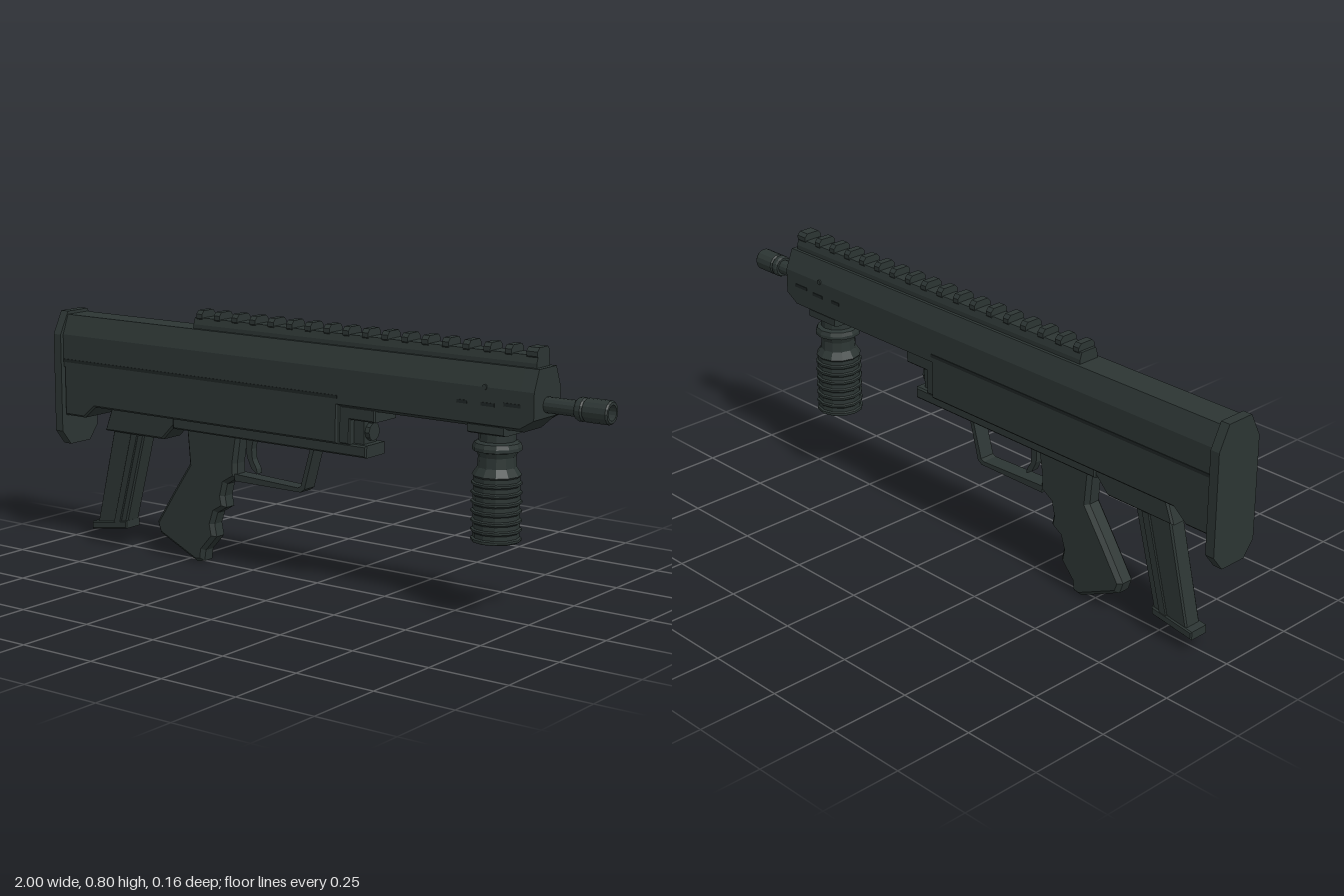
import * as THREE from 'three';

export function createModel() {
  const root = new THREE.Group();
  const gunmetal = new THREE.MeshStandardMaterial({ color: 0x2c3533, flatShading: true });
  gunmetal.name = 'dark green grey';
  const recess = new THREE.MeshStandardMaterial({ color: 0x1d2423, flatShading: true });
  recess.name = 'recess grey';

  function add(name, geo, mat = gunmetal) {
    const mesh = new THREE.Mesh(geo, mat);
    mesh.name = name;
    root.add(mesh);
    return mesh;
  }
  function box(name, x0, x1, y0, y1, halfZ, mat) {
    const mesh = add(name, new THREE.BoxGeometry(x1 - x0, y1 - y0, halfZ * 2), mat);
    mesh.position.set((x0 + x1) / 2, (y0 + y1) / 2, 0);
    return mesh;
  }
  const toShape = pts => new THREE.Shape(pts.map(p => new THREE.Vector2(p[0], p[1])));

  // Side outline, extruded across z with a chamfered rim
  function sidePlate(name, pts, halfZ, bevel = 0) {
    const geo = new THREE.ExtrudeGeometry(toShape(pts), {
      depth: 2 * (halfZ - bevel), bevelEnabled: bevel > 0, bevelSegments: 1,
      bevelSize: bevel, bevelThickness: bevel, bevelOffset: -bevel,
    });
    geo.translate(0, 0, -(halfZ - bevel));
    return add(name, geo);
  }
  // Symmetric cross-section given as [halfZ, y] from top to bottom, extruded along x
  function alongX(name, half, x0, x1, rule) {
    const pts = [...half, ...half.map(([z, y]) => [-z, y]).reverse()];
    const geo = new THREE.ExtrudeGeometry(toShape(pts), { depth: x1 - x0, bevelEnabled: false });
    geo.rotateY(Math.PI / 2);
    geo.translate(x0, 0, 0);
    if (rule) {
      const p = geo.attributes.position;
      for (let i = 0; i < p.count; i++) p.setXYZ(i, ...rule(p.getX(i), p.getY(i), p.getZ(i)));
      geo.computeVertexNormals();
    }
    return add(name, geo);
  }

  // Butt plate
  alongX('buttPlate', [[0.045, 0.762], [0.082, 0.69], [0.082, 0.375], [0.045, 0.328]], -1, -0.97);

  // Upper body, with its lower front edge cut back
  const section = [[0.045, 0.752], [0.07, 0.69], [0.07, 0.585], [0.045, 0.572]];
  alongX('upperBody', section, -0.97, 0.75);
  alongX('upperBodyNose', section, 0.75, 0.795, (x, y, z) => [x, x > 0.78 ? Math.max(y, 0.612) : y, z]);
  for (const s of [1, -1]) {
    const seam = box('bodySeam', -0.97, 0.125, 0.601, 0.611, 0.002, recess);
    seam.position.z = s * 0.07;
    for (const [x, y, w] of [[0.56, 0.642, 0.035], [0.645, 0.642, 0.045], [0.725, 0.648, 0.055]]) {
      const slot = box('sideSlot', x - w / 2, x + w / 2, y - 0.005, y + 0.005, 0.002, recess);
      slot.position.z = s * 0.07;
    }
    const pin = add('sidePin', new THREE.CylinderGeometry(0.008, 0.008, 0.01, 8));
    pin.rotation.x = Math.PI / 2;
    pin.position.set(0.635, 0.69, s * 0.068);
  }

  // Lower body and the parts along its underside
  sidePlate('lowerBody', [[-0.97, 0.602], [0.125, 0.602], [0.125, 0.465], [-0.84, 0.465],
    [-0.885, 0.427], [-0.97, 0.427]], 0.07, 0.006);
  sidePlate('frontBlock', [[0.12, 0.58], [0.25, 0.58], [0.25, 0.54], [0.16, 0.54], [0.16, 0.465], [0.12, 0.465]], 0.056, 0.004);
  sidePlate('lowerStrip', [[-0.53, 0.467], [0.215, 0.467], [0.215, 0.43], [-0.53, 0.43]], 0.05, 0.005);
  const knob = add('frontLatch', new THREE.CylinderGeometry(0.027, 0.027, 0.05, 10));
  knob.rotation.z = Math.PI / 2;
  knob.position.set(0.185, 0.502, 0);
  box('latchCore', 0.13, 0.195, 0.465, 0.54, 0.032);

  // Magazine well, magazine and base
  sidePlate('magazineWell', [[-0.79, 0.47], [-0.82, 0.39], [-0.575, 0.39], [-0.515, 0.45], [-0.515, 0.47]], 0.045, 0.006);
  sidePlate('magazine', [[-0.795, 0.4], [-0.665, 0.4], [-0.75, 0.085], [-0.875, 0.07]], 0.029, 0.005);
  sidePlate('magazineRib', [[-0.72, 0.395], [-0.69, 0.395], [-0.772, 0.09], [-0.802, 0.087]], 0.033, 0.003);
  sidePlate('magazineBase', [[-0.895, 0.078], [-0.745, 0.1], [-0.745, 0.075], [-0.895, 0.052]], 0.034, 0.004);

  // Pistol grip with finger grooves
  sidePlate('pistolGrip', [[-0.495, 0.44], [-0.485, 0.32], [-0.55, 0.225], [-0.622, 0.115], [-0.61, 0.08],
    [-0.46, 0.01], [-0.43, 0.015], [-0.425, 0.05], [-0.38, 0.1], [-0.388, 0.14], [-0.375, 0.178],
    [-0.338, 0.2], [-0.345, 0.235], [-0.335, 0.275], [-0.293, 0.3], [-0.295, 0.345], [-0.28, 0.44]], 0.03, 0.012);

  // Trigger guard and trigger
  sidePlate('triggerGuard', [[-0.3, 0.3], [-0.045, 0.289], [-0.03, 0.3], [0.008, 0.435], [-0.006, 0.435],
    [-0.044, 0.308], [-0.055, 0.302], [-0.3, 0.312]].map(([x, y]) => [x, x < -0.2 && y < 0.305 ? 0.29 : y]), 0.025);
  sidePlate('trigger', [[-0.265, 0.435], [-0.262, 0.37], [-0.245, 0.335], [-0.222, 0.32], [-0.224, 0.335],
    [-0.24, 0.362], [-0.243, 0.395], [-0.235, 0.435]], 0.012);

  // Top rail and teeth
  alongX('topRail', [[0.028, 0.786], [0.035, 0.765], [0.035, 0.748]], -0.45, 0.78);
  for (let i = 0; i < 18; i++) {
    const x = -0.43 + i * 0.0697;
    alongX('railTooth', [[0.022, 0.808], [0.032, 0.797], [0.032, 0.784], [0.026, 0.776]],
      x - 0.011, i === 17 ? 0.78 : x + 0.011);
  }

  // Barrel and muzzle, turned about the x axis
  function turned(name, profile, sides) {
    return add(name, new THREE.LatheGeometry(profile.map(p => new THREE.Vector2(p[0], p[1])), sides));
  }
  const barrel = turned('barrel', [[0, 0.78], [0.023, 0.78], [0.023, 0.895], [0.03, 0.895], [0.034, 0.902],
    [0.034, 0.915], [0.03, 0.92], [0.034, 0.925], [0.034, 0.995], [0.03, 1], [0.022, 1], [0.022, 0.97], [0, 0.97]], 14);
  barrel.rotation.z = -Math.PI / 2;
  barrel.position.y = 0.648;

  // Fore grip: mount, neck and ribbed handle
  alongX('foreGripMount', [[0.064, 0.58], [0.064, 0.558], [0.052, 0.553]], 0.575, 0.695);
  const profile = [[0, 0.24], [0.071, 0.24]];
  for (let i = 0; i < 7; i++) {
    const y = 0.24 + i * 0.027;
    profile.push([0.073, y + 0.003], [0.073, y + 0.009], [0.067, y + 0.012], [0.067, y + 0.025]);
  }
  profile.push([0.071, 0.432], [0.056, 0.455], [0.054, 0.485], [0.06, 0.5], [0.071, 0.503], [0.071, 0.513],
    [0.066, 0.525], [0.053, 0.53], [0.053, 0.56], [0, 0.56]);
  const grip = turned('foreGrip', profile, 12);
  grip.position.x = 0.635;

  return root;
}
